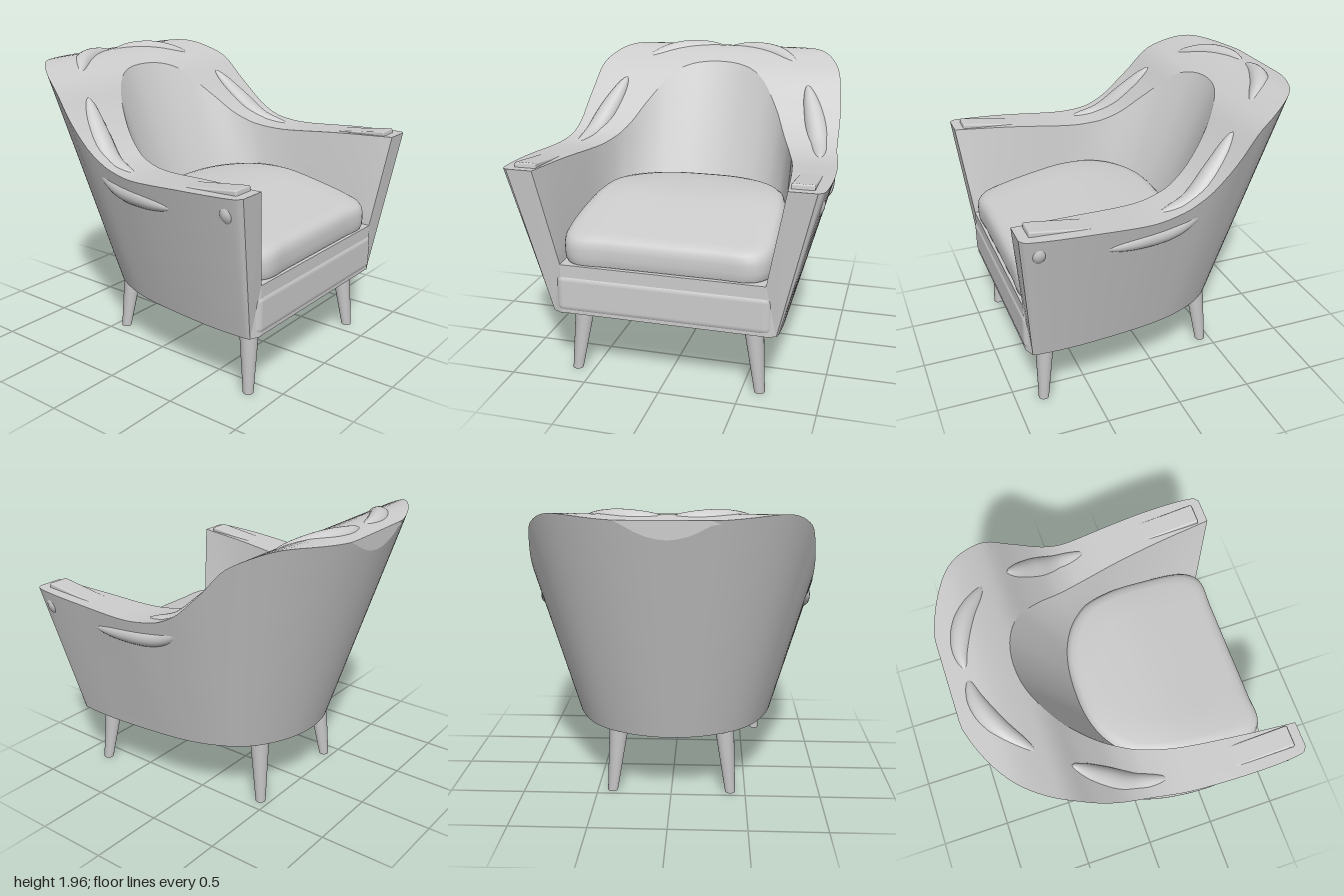
import * as THREE from 'three';
import { toCreasedNormals } from 'three/addons/utils/BufferGeometryUtils.js';
import { RoundedBoxGeometry } from 'three/addons/geometries/RoundedBoxGeometry.js';

const BASE = 0.44, DECK = 0.78;

// Half outline (x, z) from the front of the left arm to the middle back, mirrored into a full U
function uCurve(half) {
  const all = [...half, ...half.slice(0, -1).reverse().map(([x, z]) => [-x, z])];
  return new THREE.CatmullRomCurve3(all.map(([x, z]) => new THREE.Vector3(x, 0, z)), false, 'catmullrom', 0.5);
}
const outerBottom = uCurve([[0.725, 0.9], [0.737, 0.85], [0.74, 0.6], [0.71, 0.25], [0.67, 0], [0.61, -0.18], [0.52, -0.34], [0.39, -0.46], [0.2, -0.55], [0, -0.58]]);
const outerTop = uCurve([[0.95, 1], [0.988, 0.94], [1, 0.65], [0.98, 0.25], [0.94, -0.05], [0.92, -0.36], [0.85, -0.62], [0.68, -0.83], [0.37, -0.98], [0, -1.035]]);
const innerTop = uCurve([[0.78, 1], [0.772, 0.92], [0.74, 0.62], [0.69, 0.27], [0.63, 0.03], [0.57, -0.13], [0.48, -0.31], [0.35, -0.47], [0.18, -0.57], [0, -0.6]]);
const innerBottom = uCurve([[0.66, 0.93], [0.661, 0.87], [0.665, 0.6], [0.64, 0.27], [0.58, 0.1], [0.5, 0.02], [0.4, -0.04], [0.28, -0.09], [0.14, -0.12], [0, -0.13]]);

// Rim height as a function of z: low arms sweeping up to the back
const rim = new THREE.SplineCurve([[-1.1, 1.9], [-1, 1.91], [-0.8, 1.925], [-0.6, 1.845], [-0.5, 1.775], [-0.4, 1.66], [-0.3, 1.56],
  [-0.2, 1.47], [-0.1, 1.41], [0, 1.375], [0.2, 1.355], [0.6, 1.38], [1, 1.4], [1.1, 1.41]].map(p => new THREE.Vector2(...p))).getPoints(260);
function rimHeight(z) {
  const i = Math.max(1, rim.findIndex(p => p.x >= z));
  const a = rim[i - 1], b = rim[i];
  return a.y + (b.y - a.y) * (z - a.x) / (b.x - a.x);
}

// Grid of sections to geometry; optional fan caps close the two ends
function loft(sections, caps) {
  const n = sections[0].length, index = [];
  for (let i = 0; i < sections.length - 1; i++) for (let k = 0; k < n - 1; k++) {
    const a = i * n + k, b = a + n;
    index.push(a, b, a + 1, b, b + 1, a + 1);
  }
  if (caps) for (let k = 1; k < n - 1; k++) {
    const e = (sections.length - 1) * n;
    index.push(0, k, k + 1, e, e + k + 1, e + k);
  }
  const g = new THREE.BufferGeometry();
  g.setAttribute('position', new THREE.Float32BufferAttribute(sections.flat(2), 3));
  g.setIndex(index);
  return g;
}

function shellGeometry() {
  const sections = [], N = 108, TOP = 10, IN = 6;
  for (let i = 0; i <= N; i++) {
    const t = i / N, s = [];
    const [b, o, p, q] = [outerBottom, outerTop, innerTop, innerBottom].map(c => c.getPoint(t));
    // outer wall, trimmed by a flat plane at the very back
    const h = rimHeight(Math.max(o.z, -1));
    const cut = o.z < -1 ? Math.min(0.985, (-1 - b.z) / (o.z - b.z)) : 0.985;
    for (const f of [0, cut / 2, cut, 1]) {
      const v = b.clone().lerp(o, f);
      s.push([v.x, BASE + (h - BASE) * f, Math.max(v.z, -1)]);
    }
    // rim
    const edge = o.clone().setZ(Math.max(o.z, -1));
    for (let k = 1; k <= TOP; k++) {
      const v = edge.clone().lerp(p, k / TOP);
      s.push([v.x, rimHeight(v.z), v.z]);
    }
    // inner wall
    const hi = rimHeight(p.z);
    for (let k = 1; k <= IN; k++) {
      const v = p.clone().lerp(q, k / IN);
      s.push([v.x, hi + (DECK - hi) * k / IN, v.z]);
    }
    s.push([q.x, BASE, q.z]);
    sections.push(s);
  }
  return toCreasedNormals(loft(sections, true), 0.25);
}

// Soft seat cushion: plan outline stacked in rings from the bottom up, lower toward the front
function cushionGeometry() {
  const half = [[0, 0.92], [0.35, 0.92], [0.58, 0.915], [0.665, 0.82], [0.675, 0.4], [0.655, 0.2], [0.6, 0], [0.47, -0.14], [0.27, -0.23], [0, -0.25]];
  const pts = [...half, ...half.slice(1, -1).reverse().map(([x, z]) => [-x, z])];
  const outline = new THREE.CatmullRomCurve3(pts.map(([x, z]) => new THREE.Vector3(x, 0, z)), true, 'centripetal').getPoints(96);
  const rings = [[0, 0], [0.985, 0], [0.997, 0.12], [1, 0.3], [1, 0.55], [0.99, 0.75], [0.965, 0.88], [0.92, 0.96], [0.85, 0.99], [0.6, 1], [0.3, 1], [0, 1]];
  const sections = rings.map(([s, f]) => outline.map(v => {
    const z = 0.35 + (v.z - 0.35) * s;
    return [v.x * s, DECK + f * (0.33 - 0.15 * THREE.MathUtils.smoothstep(z, 0.1, 1.05)), z];
  }));
  return toCreasedNormals(loft(sections.reverse(), false), 0.8);
}

// Padded bulge: tube along a path, tapering to points at both ends
function bulgeGeometry(points, radius) {
  const path = new THREE.CatmullRomCurve3(points.map(p => new THREE.Vector3(...p)));
  const U = 32, R = 24;
  const g = new THREE.TubeGeometry(path, U, radius, R, false), pos = g.attributes.position, v = new THREE.Vector3();
  for (let i = 0; i <= U; i++) {
    const c = path.getPointAt(i / U), s = Math.sin(Math.PI * i / U) ** 0.6;
    for (let k = 0; k <= R; k++) {
      const j = i * (R + 1) + k;
      v.fromBufferAttribute(pos, j).sub(c).multiplyScalar(s).add(c);
      pos.setXYZ(j, v.x, v.y, v.z);
    }
  }
  g.computeVertexNormals();
  return g;
}

export function createModel() {
  const group = new THREE.Group();
  const upholstery = new THREE.MeshStandardMaterial({ color: 0xcccccc });
  upholstery.name = 'light grey';
  const add = (name, geometry) => {
    const m = new THREE.Mesh(geometry, upholstery);
    m.name = name;
    group.add(m);
    return m;
  };

  add('shell', shellGeometry());
  add('cushion', cushionGeometry());

  // Seat deck and underside
  const plan = (curve, sign) => new THREE.Shape(curve.getPoints(72).map(p => new THREE.Vector2(p.x, sign * p.z)));
  add('seatDeck', new THREE.ExtrudeGeometry(plan(innerBottom, -1), { depth: DECK - BASE - 0.01, bevelEnabled: false })
    .rotateX(-Math.PI / 2).translate(0, BASE + 0.005, 0));
  add('underside', new THREE.ShapeGeometry(plan(outerBottom, 1)).rotateX(Math.PI / 2).translate(0, BASE, 0));

  // Padded front rail
  add('frontRail', new RoundedBoxGeometry(1.4, 0.275, 0.13, 6, 0.055)).position.set(0, 0.58, 0.873);

  for (const s of [1, -1]) {
    const side = s > 0 ? 'left' : 'right';
    const bulge = (name, pts, r) => add(side + name, bulgeGeometry(pts.map(([x, y, z]) => [x * s, y, z]), r));
    const onRim = (x, z, sink) => [x, rimHeight(z) - sink, z];

    // Padding swells on the rim, wings and sides
    bulge('BackPad', [onRim(0.02, -0.88, 0.015), onRim(0.18, -0.87, 0.03), onRim(0.38, -0.79, 0.045), onRim(0.57, -0.63, 0.015)], 0.07);
    bulge('WingPad', [onRim(0.67, -0.46, 0.005), onRim(0.75, -0.3, 0.045), onRim(0.81, -0.12, 0.055), onRim(0.85, 0.12, 0.02)], 0.08);
    bulge('SidePad', [[0.945, 1.235, 0.49], [0.9, 1.24, 0.25], [0.865, 1.26, 0], [0.85, 1.35, -0.22]], 0.07);
    bulge('ArmTipPad', [[0.91, 1.21, 0.89], [0.925, 1.3, 0.885], [0.94, 1.38, 0.89]], 0.055);

    // Raised arm strip, sinking into the arm toward the back
    const strip = add(side + 'ArmStrip', new RoundedBoxGeometry(0.14, 0.05, 0.4, 3, 0.01));
    strip.position.set(s * 0.855, 1.377, 0.735);
    strip.rotation.x = -0.13;

    // Splayed tapered legs
    for (const [name, bx, bz, tx, tz] of [['FrontLeg', 0.615, 0.815, 0.56, 0.775], ['BackLeg', 0.4, -0.435, 0.355, -0.39]]) {
      const g = new THREE.CylinderGeometry(0.065, 0.034, 0.45, 24).translate(0, 0.225, 0);
      const pos = g.attributes.position;
      for (let i = 0; i < pos.count; i++) {
        const f = pos.getY(i) / 0.45;
        pos.setX(i, pos.getX(i) + s * (bx + (tx - bx) * f));
        pos.setZ(i, pos.getZ(i) + bz + (tz - bz) * f);
      }
      add(side + name, g);
    }
  }
  return group;
}
